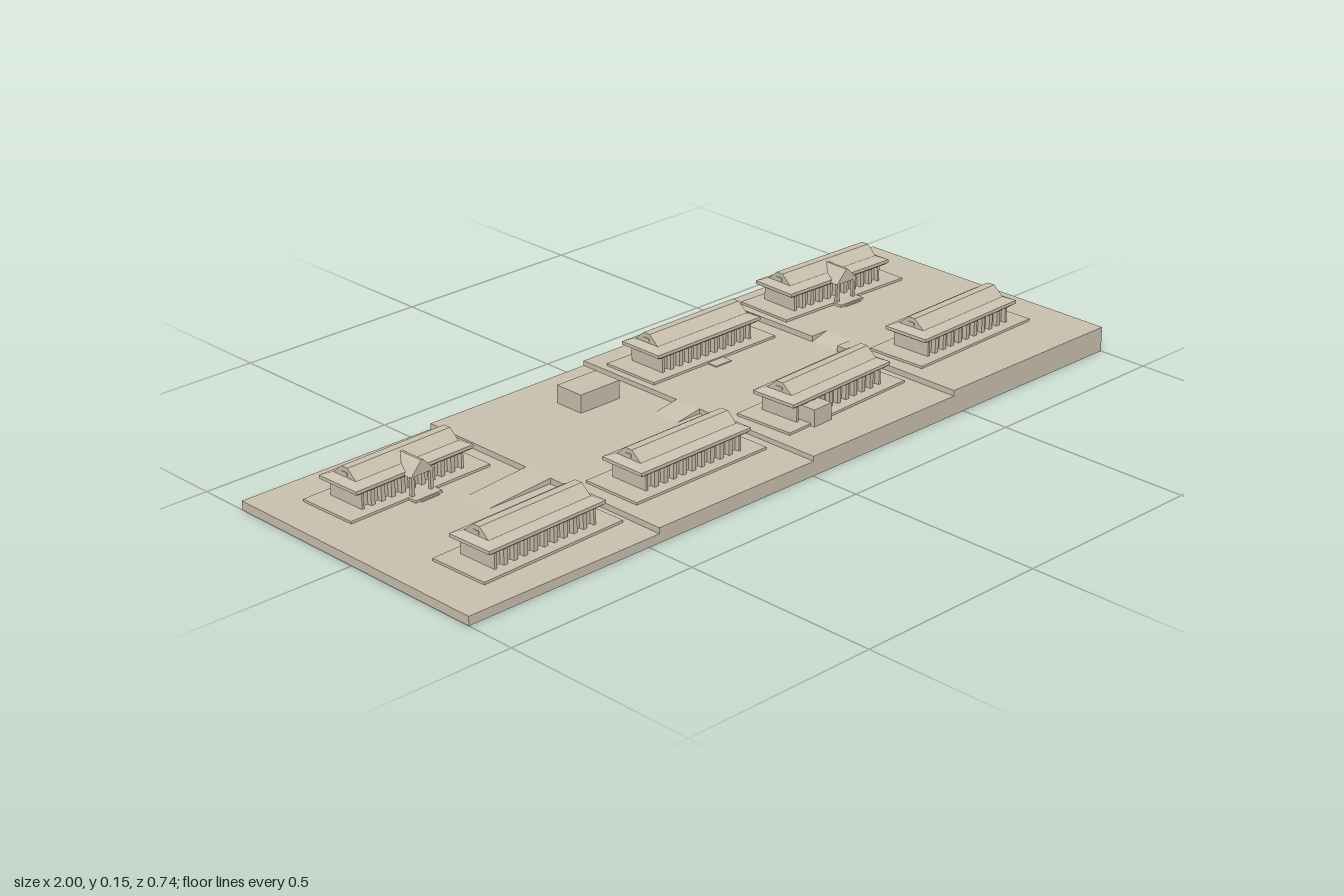
import * as THREE from 'three';

const stone = new THREE.MeshStandardMaterial({ color: 0xc8bfad });
stone.name = 'stone';

function add(parent, name, geometry, x = 0, y = 0, z = 0) {
  const mesh = new THREE.Mesh(geometry, stone);
  mesh.name = name;
  mesh.position.set(x, y, z);
  parent.add(mesh);
  return mesh;
}

// Box given by its base height and its centre in plan
function block(parent, name, w, h, d, x, y, z) {
  return add(parent, name, new THREE.BoxGeometry(w, h, d), x, y + h / 2, z);
}

// Closed solid through rectangular rings [halfX, halfZ, y], bottom to top
function loft(rings) {
  const p = [], idx = [];
  for (const [a, b, y] of rings) p.push(a, y, b, a, y, -b, -a, y, -b, -a, y, b);
  for (let i = 0; i < rings.length - 1; i++) {
    for (let j = 0; j < 4; j++) {
      const k = (j + 1) % 4, a = i * 4 + j, b = i * 4 + k;
      idx.push(a, b, b + 4, a, b + 4, a + 4);
    }
  }
  const t = (rings.length - 1) * 4;
  idx.push(t, t + 1, t + 2, t, t + 2, t + 3, 0, 2, 1, 0, 3, 2);
  const g = new THREE.BufferGeometry();
  g.setAttribute('position', new THREE.Float32BufferAttribute(p, 3));
  g.setIndex(idx);
  const flat = g.toNonIndexed();
  flat.computeVertexNormals();
  return flat;
}

// Outline in x and y, extruded along z
function prism(points, depth) {
  const shape = new THREE.Shape(points.map(([x, y]) => new THREE.Vector2(x, y)));
  return new THREE.ExtrudeGeometry(shape, { depth, bevelEnabled: false });
}

// Long hall: plinth, walls with piers, skirt roof and gabled upper roof
function hall(name, x, y, z, turn, roadSide) {
  const g = new THREE.Group();
  g.name = name;
  g.position.set(x, y, z);
  g.rotation.y = turn;
  block(g, 'plinth', 0.4, 0.006, 0.158, 0, 0, 0);
  block(g, 'entranceStep', 0.05, 0.003, 0.03, 0, 0, roadSide * 0.092);
  block(g, 'wall', 0.286, 0.041, 0.08, 0, 0.006, 0);
  for (const side of [-1, 1]) {
    block(g, 'endWall', 0.006, 0.041, 0.104, side * 0.143, 0.006, 0);
    for (let i = 1; i < 10; i++) {
      block(g, 'pier', 0.011, 0.041, 0.012, -0.143 + i * 0.0286, 0.006, side * 0.046);
    }
    block(g, 'gableVent', 0.003, 0.008, 0.018, side * 0.147, 0.071, 0);
  }
  add(g, 'skirtRoof', loft([
    [0.16, 0.055, 0.045], [0.168, 0.061, 0.05], [0.168, 0.061, 0.058], [0.147, 0.038, 0.067],
  ]));
  add(g, 'upperRoof', loft([[0.147, 0.038, 0.066], [0.147, 0.01, 0.09]]));
  return g;
}

// Gabled entrance porch on the front of a hall
function porch(g) {
  add(g, 'porchRoof', prism([[-0.034, 0.052], [0.034, 0.052], [0.003, 0.085], [-0.003, 0.085]], 0.078), 0, 0, 0.006);
  for (const side of [-1, 1]) block(g, 'porchPost', 0.008, 0.05, 0.008, side * 0.027, 0.004, 0.078);
  block(g, 'porchStep', 0.076, 0.006, 0.03, 0, 0, 0.087);
}

export function createModel() {
  const model = new THREE.Group();
  model.name = 'terracedEstate';
  const D = 0.744, levels = [0.022, 0.036, 0.048, 0.062], edges = [-1, -0.47, 0, 0.465, 1];

  // Terraced ground, the highest level notched for its ramp
  for (let i = 0; i < 3; i++) {
    block(model, 'terrace', edges[i + 1] - edges[i], levels[i], D, (edges[i] + edges[i + 1]) / 2, 0, 0);
  }
  const notchBack = -0.075, notchFront = 0.005;
  block(model, 'terrace', 0.485, levels[3], D, 0.7575, 0, 0);
  block(model, 'terrace', 0.05, levels[3], notchBack + D / 2, 0.49, 0, (notchBack - D / 2) / 2);
  block(model, 'terrace', 0.05, levels[3], D / 2 - notchFront, 0.49, 0, (notchFront + D / 2) / 2);

  // Road ramps: start, end, low height, high height, back and front edge
  for (const [x0, x1, y0, y1, z0, z1] of [
    [-0.65, -0.47, levels[0], levels[1], -0.05, 0.03],
    [-0.07, 0, levels[1], levels[2], -0.06, 0.015],
    [0.465, 0.515, levels[2], levels[3], notchBack, notchFront],
  ]) {
    add(model, 'ramp', prism([[x0, 0], [x1, 0], [x1, y1], [x0, y0]], z1 - z0), 0, 0, z0);
  }

  // Back row
  const backLeft = hall('backHall', -0.706, levels[0], -0.203, 0.026, 1);
  const backMiddle = hall('backHall', 0.219, levels[2], -0.233, 0, 1);
  const backRight = hall('backHall', 0.685, levels[3], -0.251, -0.03, 1);
  porch(backLeft);
  porch(backRight);
  block(model, 'storeHouse', 0.12, 0.045, 0.08, -0.13, levels[1], -0.215);

  // Front row, entered from the road behind
  const frontHalls = [
    [-0.69, 0.206, 0.03], [-0.23, 0.179, 0.01], [0.238, 0.171, 0.045], [0.703, 0.152, 0.03],
  ].map(([x, z, turn], i) => hall('frontHall', x, levels[i], z, turn, -1));
  block(frontHalls[2], 'annex', 0.058, 0.042, 0.05, -0.1, 0, 0.065);

  model.add(backLeft, backMiddle, backRight, ...frontHalls);
  return model;
}
